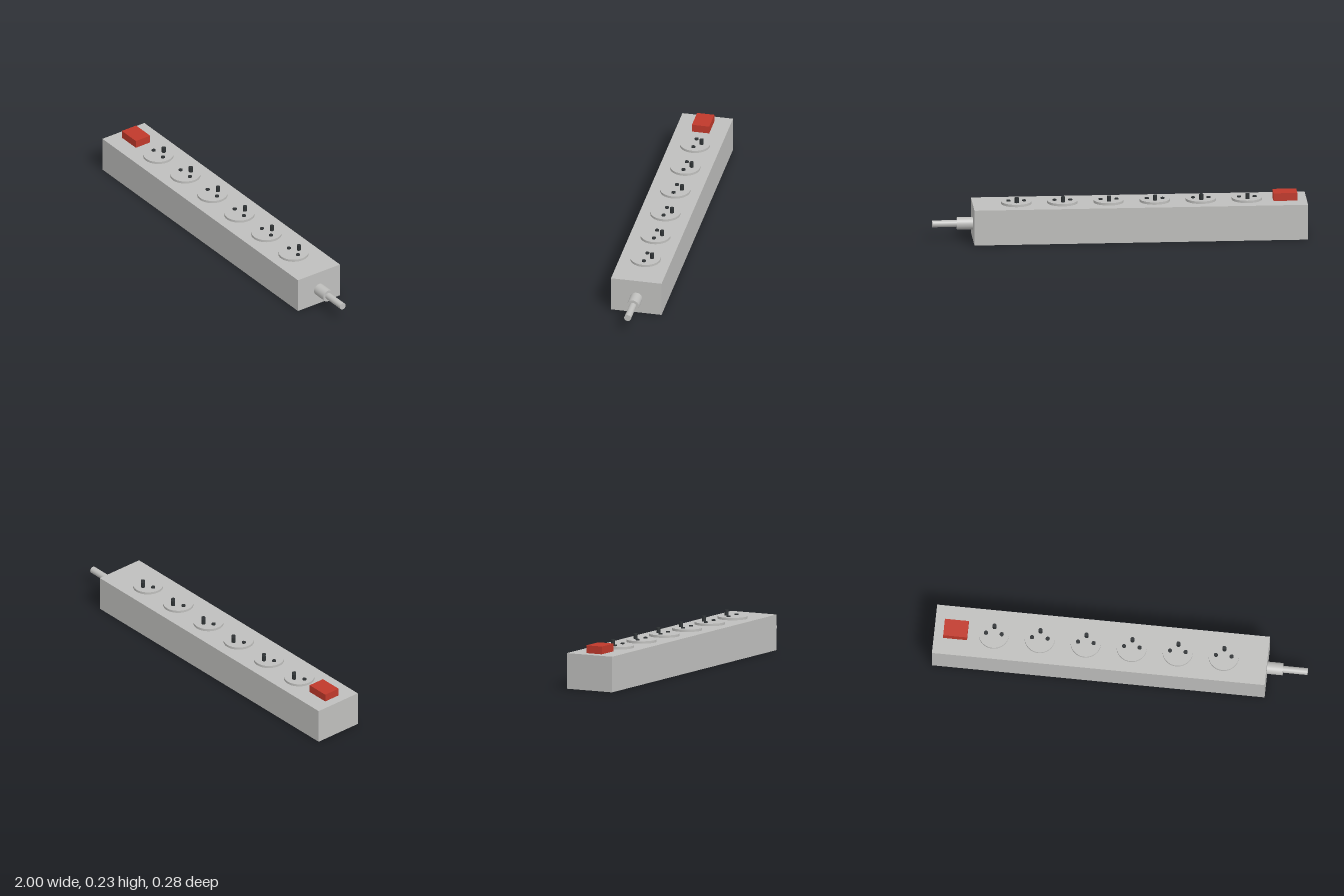
import * as THREE from 'three';

export function createModel() {
  const group = new THREE.Group();
  group.name = 'powerStrip';

  const material = (name, color) => {
    const m = new THREE.MeshStandardMaterial({ color });
    m.name = name;
    return m;
  };
  const grey = material('greyPlastic', 0xbfbfbd);
  const red = material('redSwitch', 0xc0392b);
  const dark = material('darkContact', 0x2e3234);

  const add = (name, geometry, mat, x, y, z, parent = group) => {
    const mesh = new THREE.Mesh(geometry, mat);
    mesh.name = name;
    mesh.position.set(x, y, z);
    parent.add(mesh);
    return mesh;
  };

  // Long housing and rocker switch
  const top = 0.192;
  add('housing', new THREE.BoxGeometry(1.783, top, 0.276), grey, -0.1085, top / 2, 0);
  add('switch', new THREE.BoxGeometry(0.128, 0.042, 0.094), red, -0.885, top + 0.021, 0);

  // Six sockets, each with two contacts and an earth pin towards the back
  const plate = new THREE.CylinderGeometry(0.081, 0.081, 0.013, 32);
  const contact = new THREE.CylinderGeometry(0.011, 0.011, 0.012, 16);
  const pin = new THREE.CylinderGeometry(0.011, 0.011, 0.036, 16);
  for (let i = 0; i < 6; i++) {
    const socket = new THREE.Group();
    socket.name = 'socket' + (i + 1);
    socket.position.set(-0.682 + i * 0.2464, top, 0);
    group.add(socket);
    add('socketPlate', plate, grey, 0, 0.0065, 0, socket);
    for (const side of [-1, 1]) {
      add('contact', contact, dark, side * 0.042, 0.013, 0, socket);
    }
    add('earthPin', pin, dark, 0, 0.024, -0.036, socket);
  }

  // Strain relief and cable leaving the left end
  const rod = (name, radius, x0, x1) => {
    const g = new THREE.CylinderGeometry(radius, radius, x1 - x0, 32).rotateZ(Math.PI / 2);
    add(name, g, grey, (x0 + x1) / 2, 0.087, 0);
  };
  rod('strainRelief', 0.033, 0.78, 0.868);
  rod('cable', 0.0185, 0.86, 1);

  return group;
}
